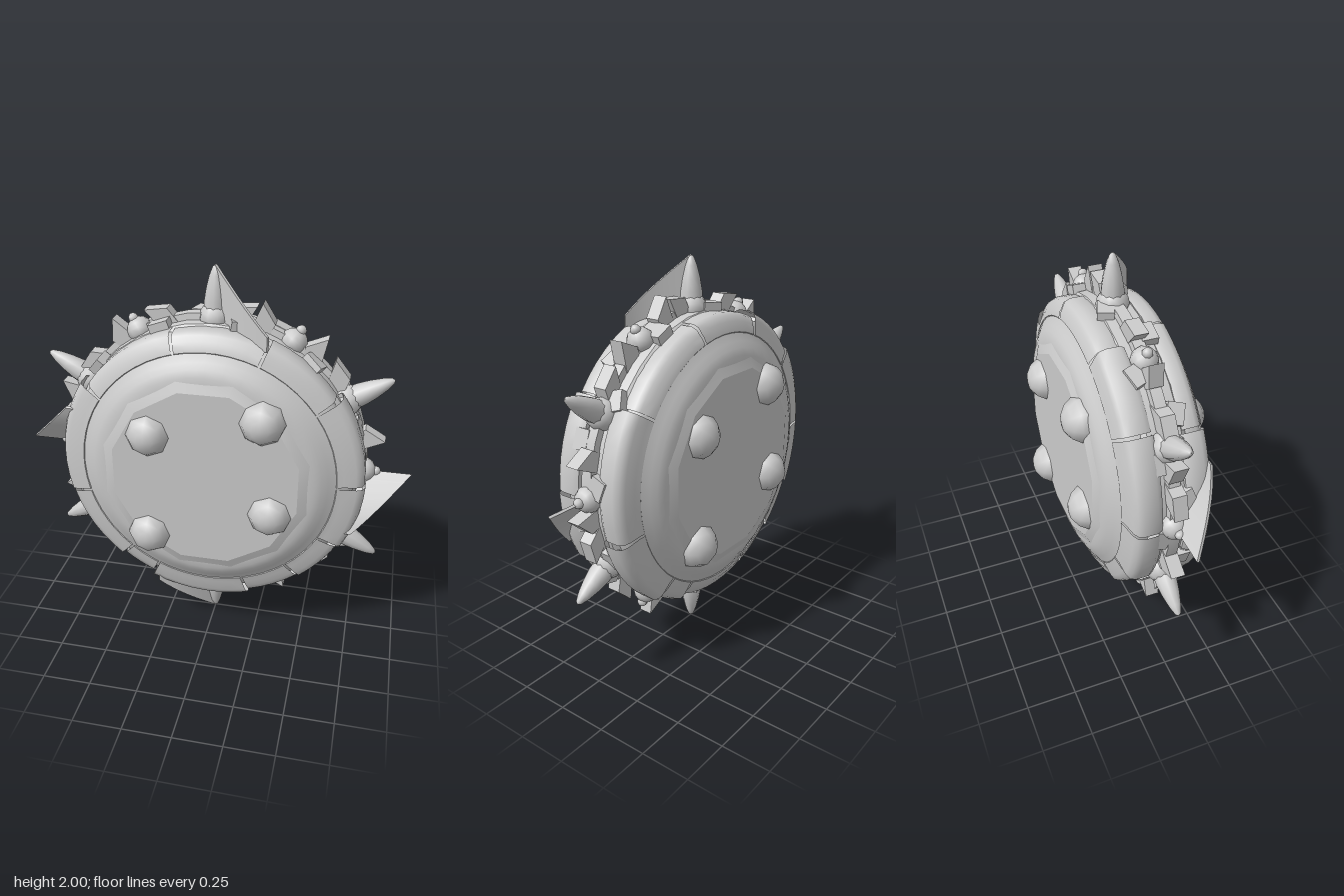
import * as THREE from 'three';
import { toCreasedNormals } from 'three/addons/utils/BufferGeometryUtils.js';

const rad = THREE.MathUtils.degToRad;
const grey = new THREE.MeshStandardMaterial({ color: 0xcccccc });
const greyDouble = new THREE.MeshStandardMaterial({ color: 0xcccccc, side: THREE.DoubleSide });

// Lathe about the z axis from [radius, z] pairs; the start angle runs anticlockwise from -y
function lathe(pairs, segments, start = 0, length = Math.PI * 2, crease = 0.4) {
  const pts = pairs.map(([r, z]) => new THREE.Vector2(r, z));
  const g = new THREE.LatheGeometry(pts, segments, start, length).rotateX(Math.PI / 2);
  return toCreasedNormals(g, crease);
}

function addMesh(parent, name, geometry, material = grey) {
  const m = new THREE.Mesh(geometry, material);
  m.name = name;
  parent.add(m);
  return m;
}

// Group whose +y axis points outward at the given angle (degrees, anticlockwise from +x)
function spoke(parent, name, angle) {
  const g = new THREE.Group();
  g.name = name;
  g.rotation.z = rad(angle - 90);
  parent.add(g);
  return g;
}

// Curved thin fin: rises to a point at the rim, sweeping sideways and forward
function finGeometry() {
  const steps = 8, pos = [], idx = [], half = 0.006;
  for (let i = 0; i <= steps; i++) {
    const t = i / steps;
    const x = 0.28 * t, z = 0.09 * (t + Math.sin(t * Math.PI / 2));
    const top = 1 - 0.27 * t, low = 0.66;
    for (const [y, d] of [[low, -half], [top, -half], [top, half], [low, half]]) {
      pos.push(x + d * 0.6, y, z - d);
    }
    if (i === 0) continue;
    const a = (i - 1) * 4, b = i * 4;
    for (let k = 0; k < 4; k++) {
      const n = (k + 1) % 4;
      idx.push(a + k, a + n, b + k, b + k, a + n, b + n);
    }
  }
  const e = steps * 4;
  idx.push(0, 2, 1, 0, 3, 2, e, e + 1, e + 2, e, e + 2, e + 3);
  const g = new THREE.BufferGeometry();
  g.setAttribute('position', new THREE.Float32BufferAttribute(pos, 3));
  g.setIndex(idx);
  return toCreasedNormals(g, 0.6);
}

// One side of the disc: face, sloping collar, armour plates and studs
function createSide(name, lifts) {
  const side = new THREE.Group();
  side.name = name;

  addMesh(side, 'facePlate', lathe([[0.57, 0.2], [0.54, 0.262], [0.48, 0.285], [0, 0.285]], 12, rad(15), Math.PI * 2, 0.2));
  addMesh(side, 'collar', lathe([[0.72, 0.1], [0.72, 0.16], [0.69, 0.188], [0.645, 0.207], [0.605, 0.232],
    [0.575, 0.25], [0.54, 0.265], [0.5, 0.268]], 40, 0, Math.PI * 2, 1.2));

  // Plates of uneven length and height with narrow gaps
  const cuts = [17, 40, 62, 90, 126, 158, 195, 237, 286, 321, 336, 377];
  lifts.forEach((lift, i) => {
    const r = 0.755 + lift;
    const profile = [[0.64, 0.06], [r - 0.015, 0.06], [r, 0.085], [r, 0.15], [r - 0.012, 0.178],
      [r - 0.04, 0.192], [0.675, 0.203], [0.645, 0.212], [0.63, 0.2], [0.64, 0.06]];
    const span = cuts[i + 1] - cuts[i] - 1;
    addMesh(side, 'armourPlate', lathe(profile, Math.max(4, Math.round(span / 6)), rad(cuts[i]), rad(span), 0.8), greyDouble);
  });

  for (const [x, y] of [[-0.28, 0.22], [0.28, 0.34], [0.33, -0.16], [-0.29, -0.35]]) {
    const stud = addMesh(side, 'stud', new THREE.SphereGeometry(0.117, 8, 8).rotateX(Math.PI / 2));
    stud.position.set(x, y, 0.245);
  }
  return side;
}

export function createModel() {
  const model = new THREE.Group();
  model.name = 'spikedDisc';
  const disc = new THREE.Group();
  disc.name = 'disc';
  disc.position.y = 1;
  model.add(disc);

  // Inner drum and rim bands
  addMesh(disc, 'drum', lathe([[0.6, -0.18], [0.7, -0.13], [0.74, -0.08], [0.745, 0], [0.74, 0.08], [0.7, 0.13], [0.6, 0.18]], 36));
  addMesh(disc, 'rimBand', lathe([[0.72, -0.035], [0.775, -0.028], [0.775, 0.028], [0.72, 0.035]], 36));

  const front = createSide('frontSide', [0, 0.01, 0.025, 0.02, -0.01, -0.025, -0.02, 0.015, 0.01, -0.01, 0.02]);
  const back = createSide('backSide', [-0.02, 0, 0.025, 0.025, 0.005, -0.02, -0.025, 0.01, 0.025, 0, -0.025]);
  back.rotation.y = Math.PI;
  disc.add(front, back);

  // Six spikes on ball sockets, with knobs between them
  const spikePts = [[0.058, 0.76], [0.055, 0.83], [0.045, 0.89], [0.03, 0.95], [0.014, 0.99], [0, 1]]
    .map(([r, y]) => new THREE.Vector2(r, y));
  const spikeGeo = new THREE.LatheGeometry(spikePts, 10);
  const socketGeo = new THREE.SphereGeometry(0.08, 10, 8);
  const knobGeo = new THREE.SphereGeometry(0.066, 10, 8);
  const nubGeo = new THREE.SphereGeometry(0.026, 8, 6);
  for (let i = 0; i < 6; i++) {
    const spike = spoke(disc, 'spike', 30 + i * 60);
    addMesh(spike, 'spikeHorn', spikeGeo);
    addMesh(spike, 'spikeSocket', socketGeo).position.y = 0.745;

    const knob = spoke(disc, 'knob', i * 60);
    addMesh(knob, 'knobBall', knobGeo).position.y = 0.755;
    addMesh(knob, 'knobNub', nubGeo).position.y = 0.82;
  }

  // Four curved fins sweeping clockwise
  const finGeo = finGeometry();
  for (let i = 0; i < 4; i++) {
    addMesh(spoke(disc, 'fin', i * 90), 'finBlade', finGeo, greyDouble);
  }

  // Tilted wedge teeth along the rim: angle, tilt
  const teeth = [[14, 20], [39, -25], [52, 35], [72, 15], [81, -12], [109, -15], [127, 25], [142, -30],
    [158, 20], [168, -20], [199, 25], [212, -20], [231, 30], [248, -15], [262, 12], [295, 25],
    [317, -30], [327, 18], [343, -25], [352, 15]];
  const toothShape = new THREE.Shape([[-0.055, -0.08], [0.035, -0.08], [0.06, 0.075], [-0.045, 0.025]]
    .map(([x, y]) => new THREE.Vector2(x, y)));
  const toothGeo = new THREE.ExtrudeGeometry(toothShape, { depth: 0.07, bevelEnabled: false }).translate(0, 0, -0.035);
  teeth.forEach(([angle, tilt], i) => {
    const tooth = addMesh(spoke(disc, 'tooth', angle), 'toothBlock', toothGeo);
    tooth.position.y = 0.78;
    tooth.rotation.z = rad(tilt);
    if (i % 2) tooth.rotation.y = Math.PI;
  });

  // Small blocks bridging the band and the plates
  const blockGeo = new THREE.BoxGeometry(0.1, 0.08, 0.08);
  for (let i = 0; i < 24; i++) {
    const block = addMesh(spoke(disc, 'rimBlock', i * 15 + 5), 'block', blockGeo);
    block.position.set(0, 0.735, i % 2 ? 0.06 : -0.06);
    block.rotation.y = (i % 3 - 1) * 0.35;
  }
  return model;
}
